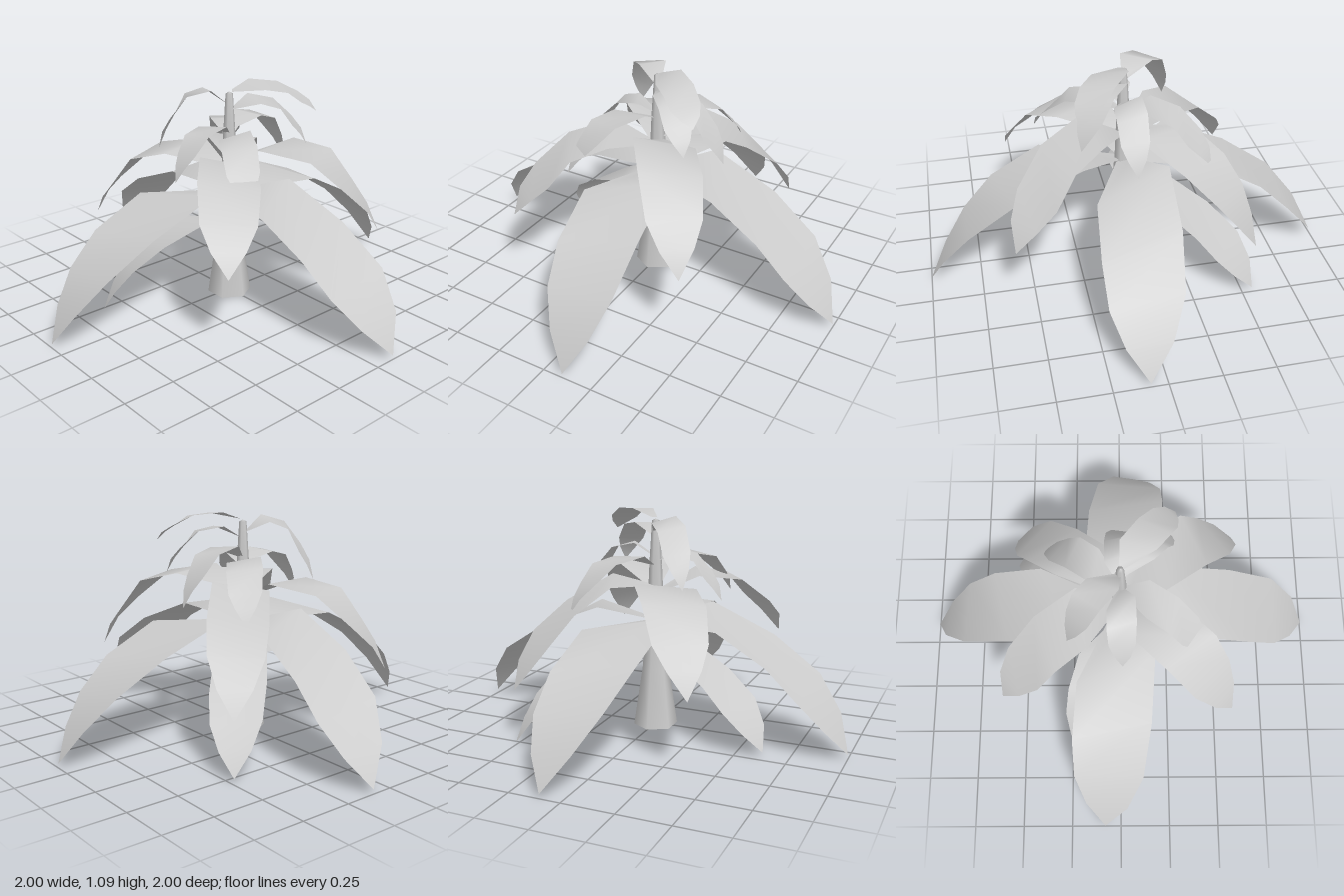
import * as THREE from 'three';

const leafMat = new THREE.MeshStandardMaterial({ color: 0xcccccc, side: THREE.DoubleSide });

// Rows along a blade: distance from the stem for each edge (skewed), and relative half width
const ROWS = [[0.03, 0.03], [0.4, 0.23], [0.65, 0.56], [0.8, 0.8], [0.91, 0.93]];
const WIDTH = [0.2, 0.97, 1, 0.9, 0.55];
// Relative height of each row, from root (1) down to tip (0)
const DROOP = [0.95, 1.03, 0.79, 0.52, 0.26];
const ARCH = [0.8, 1.03, 0.92, 0.55, 0.3];

// One thin drooping leaf; axis is its heading in the xz plane, tip may stray sideways.
// A negative half width mirrors the skew.
function leaf(name, tip, rootY, half, fall, tilt, axis = [tip[0], tip[2]]) {
  const d = new THREE.Vector2(...axis).normalize();
  const side = new THREE.Vector2(d.y, -d.x);
  const end = new THREE.Vector2(tip[0], tip[2]);
  const along = end.dot(d), stray = end.dot(side);
  const pos = [], index = [];
  ROWS.forEach((row, i) => {
    const y = tip[1] + (rootY - tip[1]) * fall[i];
    row.forEach((t, k) => {
      const s = (k * 2 - 1) * WIDTH[i];
      const p = d.clone().multiplyScalar(along * t).addScaledVector(side, stray * t * t + half * s);
      pos.push(p.x, y + tilt * s, p.y);
    });
  });
  pos.push(...tip);
  const n = (ROWS.length - 1) * 2;
  for (let a = 0; a < n; a += 2) index.push(a, a + 2, a + 1, a + 1, a + 2, a + 3);
  index.push(n, n + 2, n + 1);
  if (half < 0) index.reverse();
  const geo = new THREE.BufferGeometry();
  geo.setAttribute('position', new THREE.Float32BufferAttribute(pos, 3));
  geo.setIndex(index);
  geo.computeVertexNormals();
  const mesh = new THREE.Mesh(geo, leafMat);
  mesh.name = name;
  return mesh;
}

export function createModel() {
  const model = new THREE.Group();
  model.name = 'plant';

  // Tapered six-sided stem with a flat foot
  const profile = [[0.11, 0], [0.066, 0.3], [0.042, 0.58], [0.03, 0.85], [0.018, 1.04], [0, 1.05]];
  const stem = new THREE.Mesh(
    new THREE.LatheGeometry(profile.map(p => new THREE.Vector2(...p)), 6), leafMat);
  stem.name = 'stem';
  const foot = new THREE.Mesh(new THREE.CircleGeometry(0.11, 6, Math.PI / 2), leafMat);
  foot.name = 'stemFoot';
  foot.rotation.x = Math.PI / 2;
  model.add(stem, foot);

  // Large leaves in a cross, reaching the ground
  const large = [
    [[0.1, 0.02, 1], [0.01, 1]], [[0.1, 0.02, -1], [0.01, -1]],
    [[-1, 0.02, -0.08], [-1, -0.06]], [[1, 0.02, 0.08], [1, 0.02]],
  ];
  for (const [tip, axis] of large) model.add(leaf('largeLeaf', tip, 0.58, 0.19, DROOP, 0.028, axis));

  // Small leaves low on the stem
  model.add(leaf('lowLeaf', [-0.63, 0.02, -0.21], 0.41, 0.125, DROOP, 0.015, [-0.63, -0.28]));
  model.add(leaf('lowLeaf', [0.49, 0.02, -0.55], 0.41, 0.13, DROOP, 0.015));

  // Middle leaves on the diagonals
  const middle = [
    [[-0.48, 0.41, 0.55], 0.76, ARCH], [[-0.4, 0.36, -0.59], 0.75, ARCH],
    [[0.45, 0.39, 0.59], 0.79, ARCH], [[0.49, 0.28, -0.55], 0.75, DROOP],
  ];
  for (const [tip, root, fall] of middle) model.add(leaf('middleLeaf', tip, root, -0.142, fall, 0.005));

  // Small upper leaves around the stem
  const upper = [
    [[0.36, 0.66, 0], 0.92, 0.075], [[-0.34, 0.67, 0.01], 0.89, 0.07],
    [[0.28, 0.63, -0.37], 0.87, 0.085], [[-0.25, 0.64, 0.41], 0.87, 0.085],
    [[0.28, 0.79, 0.25], 1.01, 0.075],
  ];
  for (const [tip, root, half] of upper) model.add(leaf('upperLeaf', tip, root, half, ARCH, 0.008));

  // Crown leaves at the top
  model.add(leaf('crownLeaf', [0.33, 0.95, 0.26], 1.08, 0.08, ARCH, 0.01));
  model.add(leaf('crownLeaf', [-0.24, 0.76, -0.25], 1.05, 0.075, ARCH, 0.01));

  return model;
}
